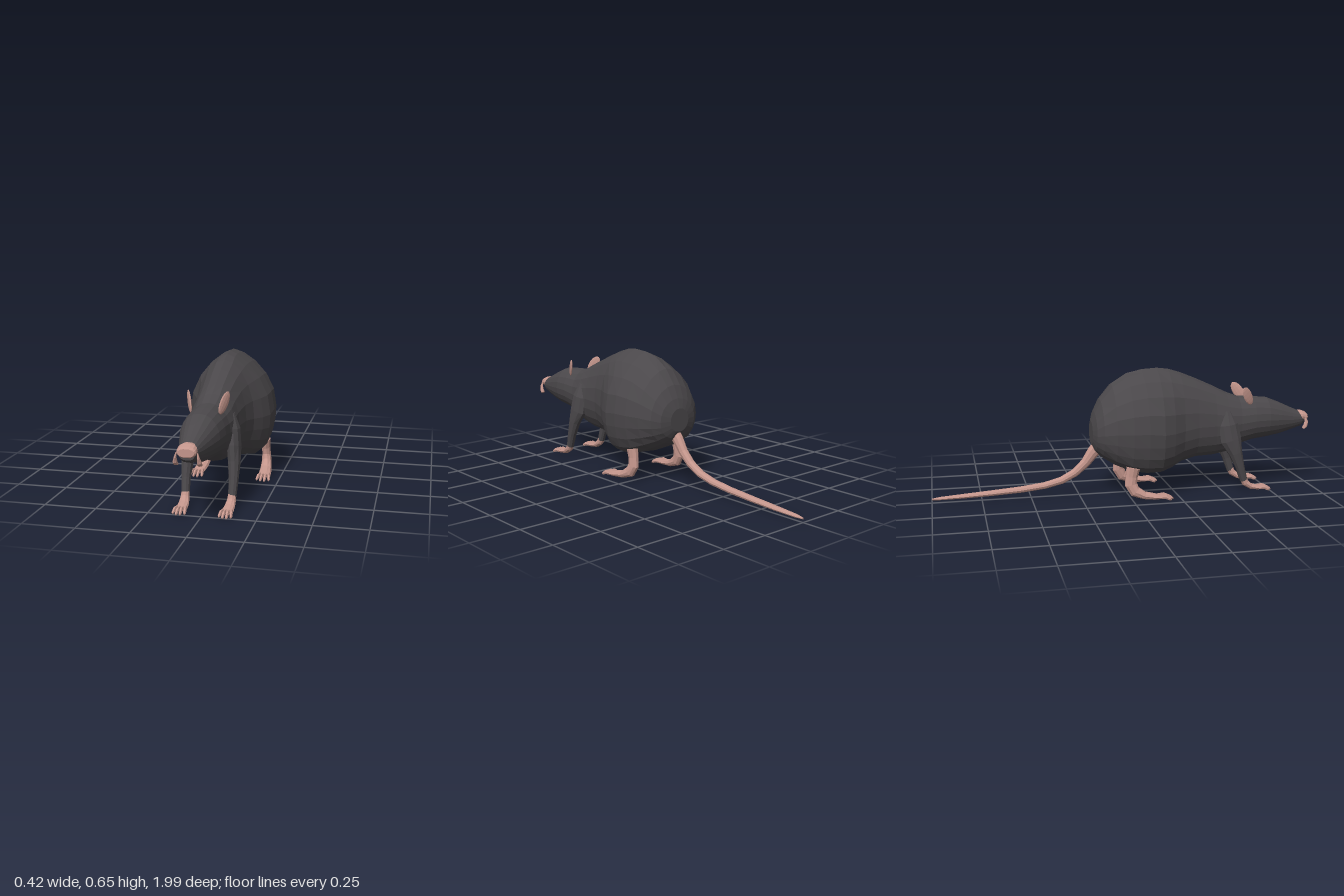
import * as THREE from 'three';

const fur = new THREE.MeshStandardMaterial({ color: 0x4b484b });
fur.name = 'dark grey fur';
const skin = new THREE.MeshStandardMaterial({ color: 0xc4968c });
skin.name = 'pink skin';

// faceted closed skin over a list of rings (each an array of Vector3, counter-clockwise about the path)
function skinRings(rings) {
  const n = rings[0].length, pos = [], idx = [];
  rings.forEach(r => r.forEach(p => pos.push(p.x, p.y, p.z)));
  for (let i = 0; i < rings.length - 1; i++) {
    for (let j = 0; j < n; j++) {
      const a = i * n + j, b = i * n + (j + 1) % n;
      idx.push(a, b, b + n, a, b + n, a + n);
    }
  }
  [0, rings.length - 1].forEach((k, end) => {
    const c = new THREE.Vector3();
    rings[k].forEach(p => c.addScaledVector(p, 1 / n));
    const ci = pos.length / 3;
    pos.push(c.x, c.y, c.z);
    for (let j = 0; j < n; j++) {
      const a = k * n + j, b = k * n + (j + 1) % n;
      if (end) idx.push(a, b, ci); else idx.push(b, a, ci);
    }
  });
  const g = new THREE.BufferGeometry();
  g.setAttribute('position', new THREE.Float32BufferAttribute(pos, 3));
  g.setIndex(idx);
  const flat = g.toNonIndexed();
  flat.computeVertexNormals();
  return flat;
}

// limb-like loft; sections are [x, y, z, half width, half depth]
function limb(sections, sides = 10) {
  const X = new THREE.Vector3(1, 0, 0);
  const pts = sections.map(s => new THREE.Vector3(s[0], s[1], s[2]));
  return skinRings(sections.map((s, i) => {
    const T = pts[Math.min(i + 1, pts.length - 1)].clone().sub(pts[Math.max(i - 1, 0)]);
    const N = T.cross(X).normalize();
    return Array.from({ length: sides }, (_, j) => {
      const t = j / sides * Math.PI * 2;
      return pts[i].clone().addScaledVector(X, s[3] * Math.cos(t)).addScaledVector(N, s[4] * Math.sin(t));
    });
  }));
}

// upright body sections: [z, top, bottom, half width, widest height, upper power, lower power]
function torso(sections, sides = 20) {
  return skinRings(sections.map(([z, top, bot, w, mid, pt, pb]) =>
    Array.from({ length: sides }, (_, j) => {
      const t = j / sides * Math.PI * 2, c = Math.cos(t), s = Math.sin(t);
      const x = Math.abs(c) < 1e-6 ? 0 : Math.sign(c) * w * Math.abs(c) ** (s > 0 ? pt : pb);
      return new THREE.Vector3(x, mid + s * (s > 0 ? top - mid : mid - bot), z);
    })));
}

export function createModel() {
  const model = new THREE.Group();
  const add = (name, geo, mat, parent = model) => {
    const m = new THREE.Mesh(geo, mat);
    m.name = name;
    parent.add(m);
    return m;
  };

  // body, neck and head in one skin
  add('body', torso([
    [-0.185, 0.39, 0.27, 0.06, 0.33, 1, 0.9],
    [-0.17, 0.44, 0.235, 0.115, 0.33, 1, 0.8],
    [-0.14, 0.505, 0.205, 0.155, 0.34, 1.1, 0.7],
    [-0.08, 0.58, 0.17, 0.19, 0.35, 1.2, 0.5],
    [0, 0.632, 0.137, 0.207, 0.35, 1.4, 0.38],
    [0.08, 0.65, 0.124, 0.211, 0.35, 1.5, 0.36],
    [0.16, 0.655, 0.124, 0.205, 0.34, 1.5, 0.4],
    [0.22, 0.648, 0.138, 0.18, 0.34, 1.35, 0.5],
    [0.28, 0.63, 0.163, 0.147, 0.345, 1.1, 0.65],
    [0.36, 0.598, 0.18, 0.125, 0.355, 1, 0.75],
    [0.46, 0.553, 0.183, 0.113, 0.355, 1, 0.8],
    [0.53, 0.518, 0.197, 0.112, 0.355, 1, 0.85],
    [0.6, 0.492, 0.235, 0.102, 0.36, 1, 0.9],
    [0.68, 0.488, 0.258, 0.1, 0.37, 0.95, 0.9],
    [0.76, 0.48, 0.268, 0.092, 0.37, 0.95, 0.9],
    [0.83, 0.452, 0.28, 0.075, 0.365, 0.9, 0.9],
    [0.9, 0.42, 0.3, 0.056, 0.36, 0.9, 0.8],
    [0.955, 0.396, 0.318, 0.042, 0.36, 0.85, 0.7],
    [0.972, 0.385, 0.332, 0.034, 0.358, 0.85, 0.7],
  ]), fur);

  // nose pad
  add('nose', torso([
    [0.94, 0.403, 0.355, 0.036, 0.372, 0.7, 0.7],
    [0.96, 0.402, 0.348, 0.044, 0.372, 0.7, 0.7],
    [0.982, 0.394, 0.345, 0.043, 0.37, 0.7, 0.7],
    [0.99, 0.386, 0.35, 0.036, 0.368, 0.7, 0.7],
  ], 14), skin);

  // tail
  add('tail', limb([
    [0, 0.27, -0.13, 0.03, 0.04],
    [0, 0.225, -0.175, 0.026, 0.032],
    [0, 0.17, -0.215, 0.023, 0.025],
    [0, 0.12, -0.27, 0.022, 0.021],
    [0, 0.083, -0.34, 0.022, 0.019],
    [0, 0.06, -0.43, 0.022, 0.017],
    [0, 0.046, -0.55, 0.022, 0.016],
    [0, 0.036, -0.7, 0.022, 0.014],
    [0, 0.028, -0.85, 0.02, 0.011],
    [0, 0.023, -0.96, 0.014, 0.008],
    [0, 0.021, -1, 0.004, 0.004],
  ], 10), skin);

  for (const s of [1, -1]) {
    const side = s > 0 ? 'left' : 'right';
    const mirror = list => list.map(([x, ...rest]) => [x * s, ...rest]);

    // ear: thin leaf leaning back and outwards
    const length = new THREE.Vector3(0.03 * s, 0.095, -0.06).normalize();
    const normal = new THREE.Vector3(0.85 * s, 0, 0.45);
    normal.addScaledVector(length, -normal.dot(length)).normalize();
    const width = length.clone().cross(normal);
    const ear = new THREE.SphereGeometry(1, 10, 8).scale(0.029, 0.056, 0.007)
      .applyMatrix4(new THREE.Matrix4().makeBasis(width, length, normal))
      .translate(0.08 * s, 0.503, 0.632).toNonIndexed();
    ear.computeVertexNormals();
    add(side + 'Ear', ear, skin);

    // small curved flap beside the mouth
    add(side + 'MouthFlap', limb(mirror([
      [0.046, 0.366, 0.972, 0.003, 0.006],
      [0.05, 0.345, 0.976, 0.006, 0.011],
      [0.053, 0.325, 0.97, 0.01, 0.012],
      [0.052, 0.31, 0.958, 0.012, 0.007],
    ]), 8), skin);

    // foreleg
    add(side + 'Foreleg', limb(mirror([
      [0.085, 0.43, 0.515, 0.018, 0.025],
      [0.096, 0.36, 0.52, 0.034, 0.055],
      [0.104, 0.28, 0.535, 0.034, 0.058],
      [0.11, 0.21, 0.562, 0.03, 0.036],
      [0.113, 0.13, 0.588, 0.023, 0.024],
      [0.111, 0.06, 0.61, 0.02, 0.02],
    ])), fur);

    // paws: a wrist or shank running into a flat sole, then four splayed toes
    const paw = (name, sections, x, z, reach, spread) => {
      const g = new THREE.Group();
      g.name = name;
      model.add(g);
      add('foot', limb(mirror(sections)), skin, g);
      for (let i = 0; i < 4; i++) {
        const k = (i - 1.5) / 1.5, tip = z + reach * (1 - 0.22 * k * k);
        add('toe', limb(mirror([
          [x + k * spread * 0.7, 0.018, z - 0.015, 0.007, 0.009],
          [x + k * spread * 0.9, 0.019, (z + tip) / 2, 0.008, 0.011],
          [x + k * spread, 0.009, tip - 0.008, 0.007, 0.008],
          [x + k * spread, 0.005, tip, 0.003, 0.004],
        ]), 6), skin, g);
      }
    };
    paw(side + 'FrontPaw', [
      [0.111, 0.075, 0.605, 0.019, 0.019],
      [0.11, 0.045, 0.62, 0.021, 0.019],
      [0.108, 0.024, 0.65, 0.025, 0.015],
      [0.107, 0.016, 0.69, 0.028, 0.012],
      [0.107, 0.014, 0.71, 0.025, 0.009],
    ], 0.107, 0.7, 0.06, 0.027);
    paw(side + 'HindPaw', [
      [0.153, 0.17, 0.005, 0.025, 0.036],
      [0.154, 0.125, -0.004, 0.022, 0.032],
      [0.157, 0.085, -0.008, 0.023, 0.033],
      [0.161, 0.048, 0.012, 0.026, 0.03],
      [0.166, 0.026, 0.06, 0.029, 0.02],
      [0.171, 0.018, 0.115, 0.032, 0.015],
      [0.173, 0.015, 0.15, 0.03, 0.01],
    ], 0.173, 0.14, 0.07, 0.03);
  }
  return model;
}
